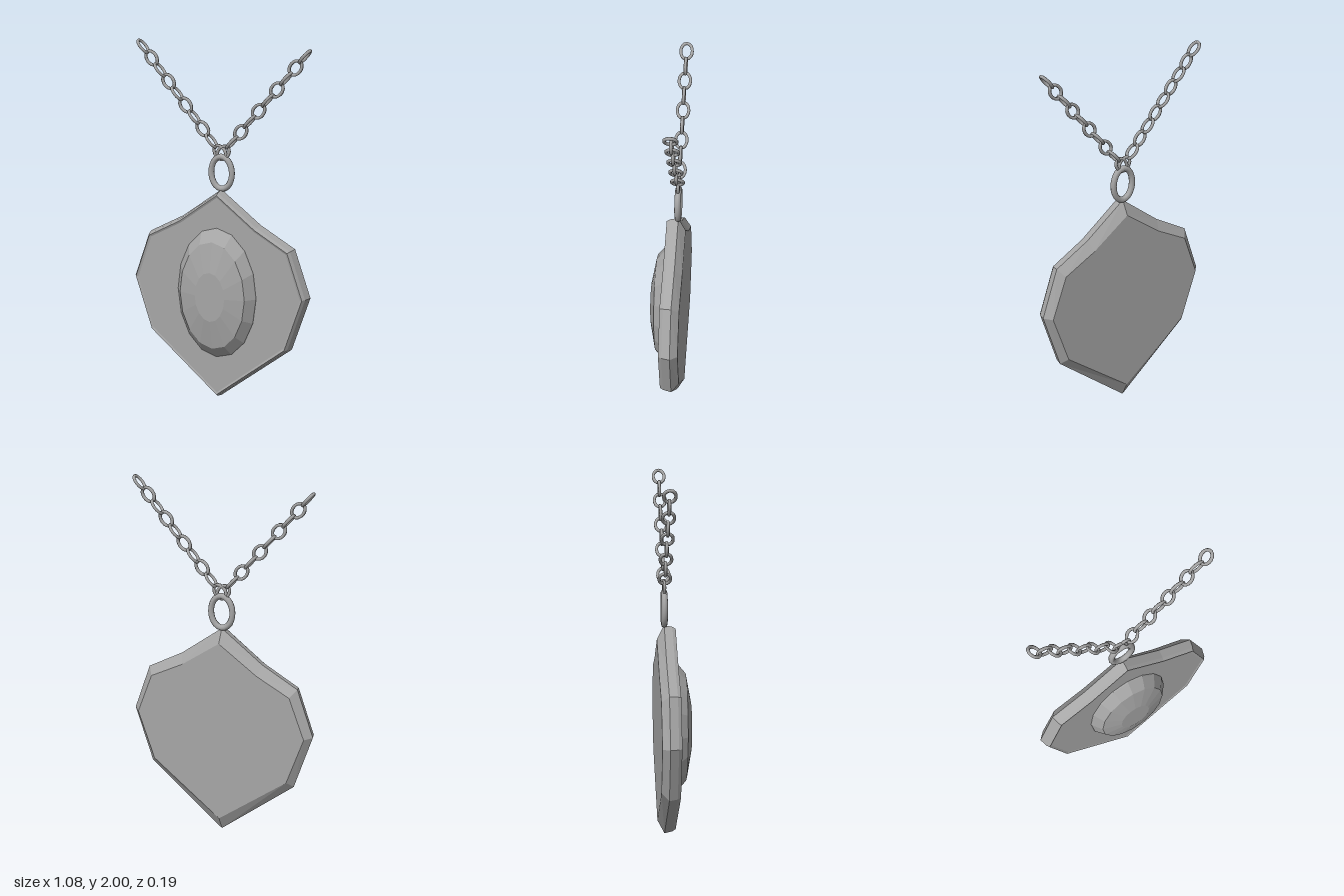
import * as THREE from 'three';

const silver = new THREE.MeshStandardMaterial({ color: 0xa6a6a6 });
silver.name = 'silver';

const CHAIN_Z = -0.055;

// Faceted solid lofted through rings (counter-clockwise from the front), ordered back to front
function loft(rings, capBack = true) {
  const pos = [];
  const tri = (...pts) => pts.forEach((p) => pos.push(p.x, p.y, p.z));
  const centre = (ring) =>
    ring.reduce((s, p) => s.add(p), new THREE.Vector3()).divideScalar(ring.length);
  const n = rings[0].length;
  const back = rings[0];
  const front = rings[rings.length - 1];
  const cb = centre(back);
  const cf = centre(front);
  for (let j = 0; j < n; j++) {
    const k = (j + 1) % n;
    for (let i = 0; i < rings.length - 1; i++) {
      const a = rings[i];
      const b = rings[i + 1];
      tri(a[j], a[k], b[k]);
      tri(a[j], b[k], b[j]);
    }
    if (capBack) tri(cb, back[k], back[j]);
    tri(cf, front[j], front[k]);
  }
  const geo = new THREE.BufferGeometry();
  geo.setAttribute('position', new THREE.Float32BufferAttribute(pos, 3));
  geo.computeVertexNormals();
  return geo;
}

// Closed oval wire ring, long axis along y, lying in the xy plane
function ovalRing(rx, ry, tube, segments, sides) {
  const pts = [];
  for (let i = 0; i < 16; i++) {
    const a = (i / 16) * Math.PI * 2;
    pts.push(new THREE.Vector3(Math.cos(a) * rx, Math.sin(a) * ry, 0));
  }
  const curve = new THREE.CatmullRomCurve3(pts, true);
  return new THREE.TubeGeometry(curve, segments, tube, sides, true);
}

function addMesh(parent, name, geo) {
  const mesh = new THREE.Mesh(geo, silver);
  mesh.name = name;
  parent.add(mesh);
  return mesh;
}

export function createModel() {
  const model = new THREE.Group();
  model.name = 'pendant';

  // Shield plate: right half of the outline, bottom to top, then mirrored
  const half = [[0, 0], [0.435, 0.345], [0.54, 0.657], [0.445, 0.92], [0.24, 1.03], [0, 1.205]];
  const outline = [...half, ...half.slice(1, -1).reverse().map(([x, y]) => [-x, y])];
  const plateRing = (sx, sy, z) =>
    outline.map(([x, y]) => new THREE.Vector3(x * sx, 0.61 + (y - 0.61) * sy, z));
  addMesh(model, 'shieldPlate', loft([
    plateRing(0.93, 0.87, -0.095),
    plateRing(1, 1, CHAIN_Z),
    plateRing(0.978, 0.982, -0.01),
    plateRing(0.955, 0.962, 0.008),
    plateRing(0.93, 0.94, 0.003),
  ]));

  // Faceted oval stone with a flat table
  const stoneRing = (s, z) => Array.from({ length: 16 }, (_, i) => {
    const a = (i / 16) * Math.PI * 2;
    return new THREE.Vector3(Math.cos(a) * 0.243 * s, 0.624 + Math.sin(a) * 0.375 * s, z);
  });
  addMesh(model, 'ovalStone', loft([
    stoneRing(1, 0),
    stoneRing(0.99, 0.01),
    stoneRing(0.82, 0.063),
    stoneRing(0.375, 0.093),
  ], false));

  // Hanging ring at the top of the plate
  const bail = addMesh(model, 'hangingRing', ovalRing(0.063, 0.09, 0.017, 24, 8));
  bail.position.set(0, 1.298, CHAIN_Z);

  // Two chains, each link turned a quarter about the chain from the one before
  const linkGeo = ovalRing(0.031, 0.043, 0.009, 16, 6);
  const step = new THREE.Vector2(0.0527, 0.0613);
  for (const side of [1, -1]) {
    const chain = new THREE.Group();
    chain.name = side > 0 ? 'leftChain' : 'rightChain';
    for (let i = 0; i < 10; i++) {
      const link = addMesh(chain, 'chainLink', linkGeo);
      link.position.set(side * (0.01 + step.x * i), 1.41 + step.y * i, CHAIN_Z);
      link.rotation.z = -side * Math.atan2(step.x, step.y);
      if (i % 2) link.rotateY(Math.PI / 2);
    }
    model.add(chain);
  }

  return model;
}
